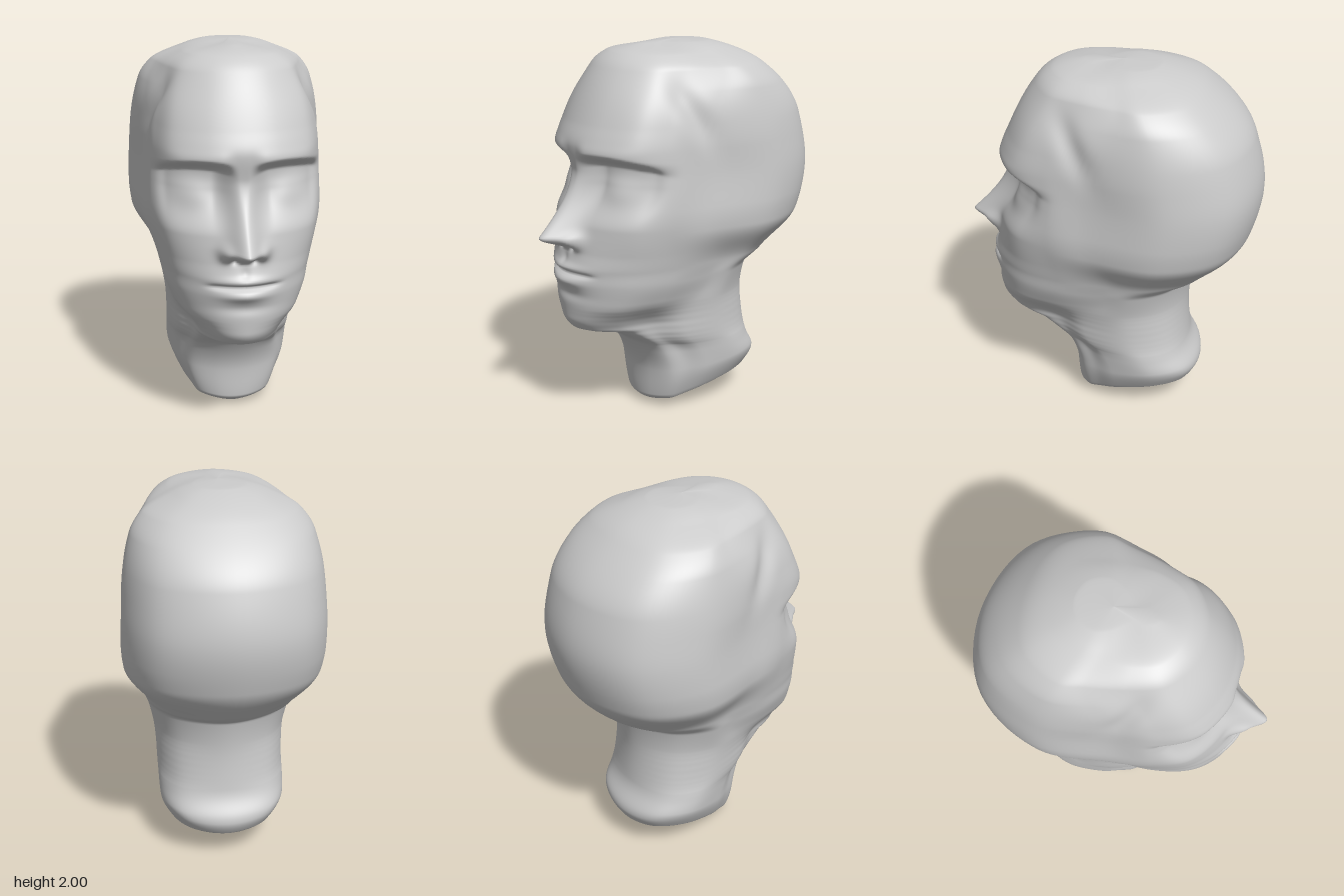
import * as THREE from 'three';

const { smoothstep, lerp, clamp } = THREE.MathUtils;
const step = (a, b, v) => smoothstep(v, a, b);
const bump = (v, c, w) => Math.exp(-(((v - c) / w) ** 2));

// smooth profile through [height, value] points, without overshoot
function profile(points) {
  const secant = points.slice(1).map(([y, v], i) => (v - points[i][1]) / (y - points[i][0]));
  const slope = points.map((_, i) => {
    const a = secant[Math.max(i - 1, 0)];
    const b = secant[Math.min(i, secant.length - 1)];
    return a * b > 0 ? (2 * a * b) / (a + b) : 0;
  });
  return (y) => {
    let i = 0;
    while (i < points.length - 2 && y < points[i + 1][0]) i++;
    const [y0, v0] = points[i];
    const [y1, v1] = points[i + 1];
    const h = y1 - y0;
    const t = (y - y0) / h;
    const s = t * t * (3 - 2 * t);
    return lerp(v0, v1, s) + h * t * (1 - t) * ((1 - t) * slope[i] - t * slope[i + 1]);
  };
}

// outline of forehead, face, chin and throat, without the features
const frontZ = profile([
  [2, -.05], [1.99, .17], [1.95, .33], [1.88, .41], [1.62, .555], [1.5, .598], [1.35, .58], [.97, .64],
  [.88, .66], [.6, .645], [.53, .6], [.5, .46], [.4, .285], [.22, .21], [.06, .2], [.01, .14], [0, .08]]);
// back of skull, nape and neck
const backZ = profile([
  [2, -.05], [1.99, -.24], [1.88, -.5], [1.62, -.73], [1.35, -.787], [1.1, -.74], [.88, -.565],
  [.8, -.44], [.6, -.415], [.4, -.43], [.12, -.495], [.03, -.46], [0, .08]]);
// half width of skull and neck
const sideX = profile([
  [2, 0], [1.99, .14], [1.95, .26], [1.88, .4], [1.78, .465], [1.5, .515], [1.2, .527],
  [1.08, .515], [.88, .4], [.6, .345], [.2, .33], [.04, .27], [0, 0]]);
// half width of temples, cheeks and jaw
const faceX = profile([
  [2, 0], [1.95, .25], [1.88, .34], [1.62, .41], [1.2, .44], [.8, .375], [.7, .335],
  [.53, .235], [.22, .27], [.04, .22], [0, 0]]);

// front outline averaged around the chin, so the jaw runs softly into the neck
function softFrontZ(y) {
  const reach = 0.045 * bump(y, 0.55, 0.2);
  let sum = 0;
  for (let k = -4; k <= 4; k++) sum += frontZ(y + k * reach);
  return sum / 9;
}

// closed horizontal section: centre of face, cheek, temple, ear, side, rear, and mirrored back
function section(y) {
  const jaw = bump(y, 0.8, 0.22);
  const cheek = 0.23 + 0.14 * jaw + 0.1 * bump(y, 1.9, 0.15);
  const f = faceX(y);
  const w = sideX(y);
  const soft = softFrontZ(y);
  const at = (x, depth, front = soft) => new THREE.Vector3(x, y, lerp(front, backZ(y), depth));
  const left = [
    at(0, 0, frontZ(y)),
    at(0.42 * f, 0.1 * cheek, lerp(frontZ(y), soft, 0.1)),
    at(0.82 * f, 0.45 * cheek, lerp(frontZ(y), soft, 0.5)),
    at(f, cheek),
    at(lerp(f, w, 0.7 - 0.45 * bump(y, 1.35, 0.35)), 1.62 * cheek),
    at(w, 0.68 + 0.06 * jaw),
    at((0.71 - 0.03 * jaw) * w, 0.91),
    at(0, 1),
  ];
  const right = left.slice(1, -1).reverse().map((p) => new THREE.Vector3(-p.x, p.y, p.z));
  return new THREE.CatmullRomCurve3([...left, ...right], true);
}

// forward relief of the features
function faceRelief(ax, y) {
  let d = 0;
  // nose ridge, wings and nostrils
  const t = clamp((1.38 - y) / 0.33, 0, 1);
  d += 0.175 * t ** 1.5 * step(0.965, 1.05, y) * bump(ax, 0, 0.05 + 0.03 * t);
  d += 0.035 * bump(ax, 0.095, 0.035) * bump(y, 1.03, 0.045);
  d -= 0.03 * bump(ax, 0.05, 0.02) * bump(y, 0.99, 0.015);
  // eye sockets under an arched brow, with the closed eye swelling inside
  const browY = 1.46 - 0.8 * (ax - 0.2) ** 2;
  const across = step(0.02, 0.15, ax) * (1 - step(0.36, 0.46, ax));
  d -= 0.09 * across * (1 - step(browY - 0.05, browY + 0.025, y)) * step(1.1, 1.32, y);
  d += 0.035 * bump(ax, 0.25, 0.11) * bump(y, 1.29, 0.075);
  d += 0.012 * bump(y, 1.48, 0.04) * step(0.03, 0.12, ax) * (1 - step(0.3, 0.42, ax));
  // lips, the line between them and the fold above the chin
  const mouth = bump(ax, 0, 0.13);
  d += mouth * (0.018 * bump(y, 0.882, 0.022) + 0.026 * bump(y, 0.81, 0.03));
  d -= 0.022 * Math.exp(-((ax / 0.175) ** 6)) * bump(y, 0.852, 0.012);
  d -= 0.012 * bump(ax, 0, 0.14) * bump(y, 0.735, 0.03);
  // groove under the nose
  d -= 0.008 * bump(ax, 0, 0.025) * bump(y, 0.925, 0.03);
  return d;
}

// hollow of the temple, running down and back in front of the skull
const templeHollow = (y, z) => 0.03 * bump(z, 0.17 + 0.45 * (y - 1.75), 0.07) * bump(y, 1.68, 0.16);

function headGeometry() {
  const rows = 360;
  const half = 80;
  const around = half * 2;
  const position = [];
  const index = [];
  for (let i = 0; i <= rows; i++) {
    const ring = section(1 + Math.cos((Math.PI * i) / rows));
    for (let j = 0; j < around; j++) {
      // columns crowd towards the centre of the face
      const side = j > half ? -1 : 1;
      const s = (side > 0 ? j : around - j) / half;
      const p = ring.getPoint(0.5 * s ** 1.5);
      let ax = Math.abs(p.x);
      ax -= templeHollow(p.y, p.z) * step(0.25, 0.4, ax);
      p.z += faceRelief(ax, p.y) * step(0.1, 0.3, p.z);
      // the neck is cut on a rounded slope, higher at the back
      p.y += (0.23 * Math.max(0, 0.1 - p.z) + 0.6 * ax * ax) * (1 - step(0, 0.45, p.y));
      position.push(side * ax, p.y, p.z);
      if (i < rows) {
        const a = i * around + j;
        const b = i * around + ((j + 1) % around);
        index.push(a, a + around, b, b, a + around, b + around);
      }
    }
  }
  const geometry = new THREE.BufferGeometry();
  geometry.setAttribute('position', new THREE.Float32BufferAttribute(position, 3));
  geometry.setIndex(index);
  geometry.computeVertexNormals();
  return geometry;
}

export function createModel() {
  const model = new THREE.Group();
  model.name = 'mannequinHead';
  const head = new THREE.Mesh(headGeometry(), new THREE.MeshStandardMaterial({ color: 0xcccccc }));
  head.name = 'headAndNeck';
  model.add(head);
  return model;
}
